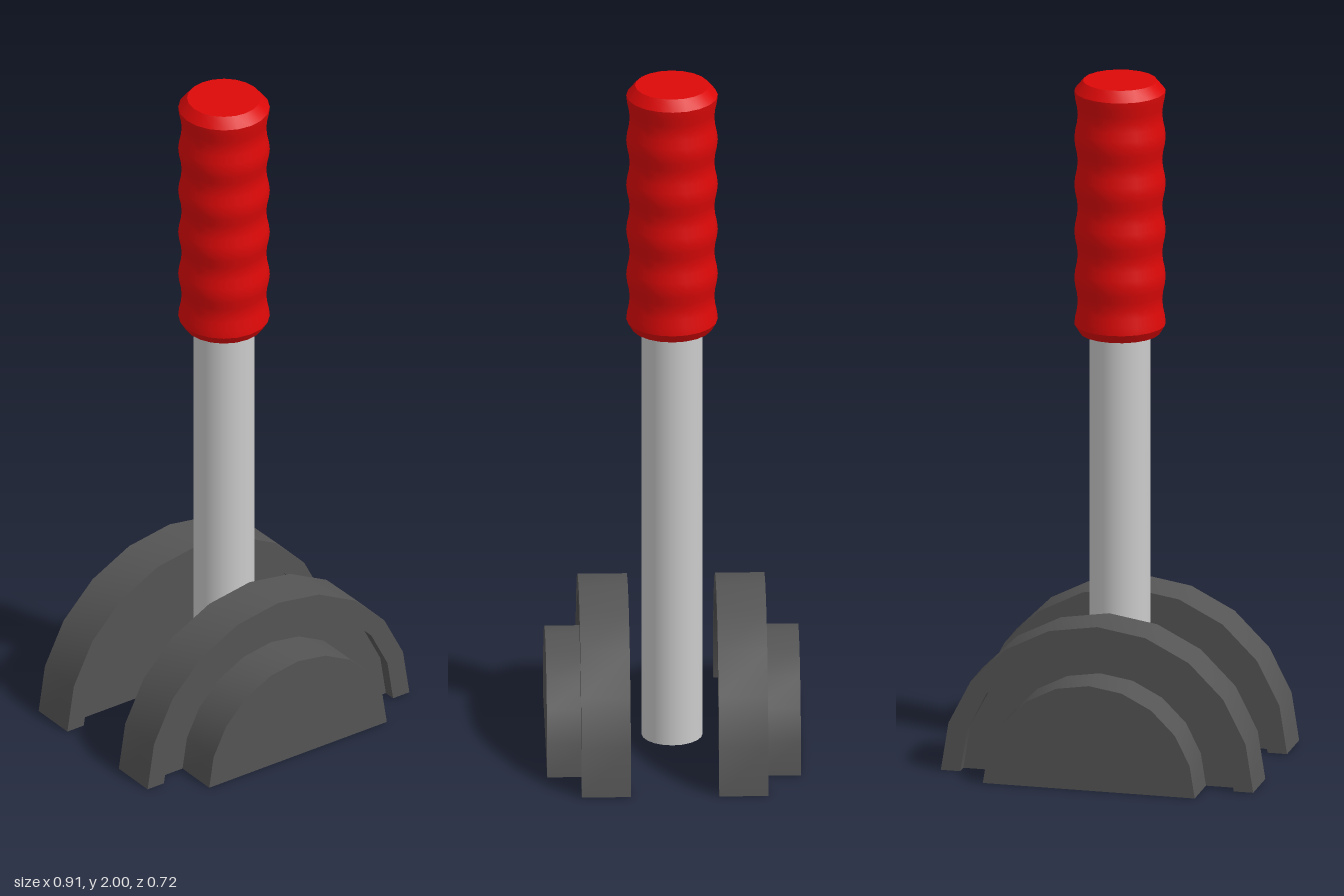
import * as THREE from 'three';
import { toCreasedNormals } from 'three/addons/utils/BufferGeometryUtils.js';

const STEPS = 10; // facets per half circle

function arc(radius) {
  const points = [];
  for (let i = 0; i <= STEPS; i++) {
    const a = (i / STEPS) * Math.PI;
    points.push(new THREE.Vector2(radius * Math.cos(a), radius * Math.sin(a)));
  }
  return points;
}

// Half disc, or half ring when an inner radius is given, from z0 to z1
function halfDisc(name, outer, inner, z0, z1, material) {
  const points = arc(outer);
  if (inner > 0) points.push(...arc(inner).reverse());
  const geometry = new THREE.ExtrudeGeometry(new THREE.Shape(points), {
    depth: z1 - z0, bevelEnabled: false,
  });
  geometry.translate(0, 0, z0);
  const mesh = new THREE.Mesh(toCreasedNormals(geometry, 0.5), material);
  mesh.name = name;
  return mesh;
}

export function createModel() {
  const model = new THREE.Group();
  model.name = 'lever';

  const steel = new THREE.MeshStandardMaterial({ color: 0xcccccc });
  const dark = new THREE.MeshStandardMaterial({ color: 0x555555 });
  const red = new THREE.MeshStandardMaterial({ color: 0xdd0808 });

  // Shaft
  const shaft = new THREE.Mesh(new THREE.CylinderGeometry(0.087, 0.087, 1.3, 20), steel);
  shaft.position.y = 0.65;
  shaft.name = 'shaft';
  model.add(shaft);

  // Grip with five shallow finger grooves and chamfered ends
  const low = 1.28, high = 1.97, grooves = 5, perGroove = 6;
  const profile = [new THREE.Vector2(0, 1.255), new THREE.Vector2(0.115, 1.255)];
  for (let i = 0; i <= grooves * perGroove; i++) {
    const t = i / (grooves * perGroove);
    const dip = 0.005 * (1 - Math.cos(t * grooves * Math.PI * 2));
    profile.push(new THREE.Vector2(0.13 - dip, low + (high - low) * t));
  }
  profile.push(new THREE.Vector2(0.105, 2), new THREE.Vector2(0, 2));
  const grip = new THREE.Mesh(
    toCreasedNormals(new THREE.LatheGeometry(profile, 20), 0.6), red);
  grip.name = 'grip';
  model.add(grip);

  // Two half-round side plates: raised rim, recessed web, hub on the outer face
  for (const side of [1, -1]) {
    const plate = new THREE.Group();
    plate.name = side > 0 ? 'frontPlate' : 'backPlate';
    plate.add(
      halfDisc('rim', 0.457, 0.4, 0.125, 0.265, dark),
      halfDisc('web', 0.4, 0, 0.16, 0.23, dark),
      halfDisc('hub', 0.31, 0, 0.23, 0.36, dark),
    );
    if (side < 0) plate.rotation.y = Math.PI;
    model.add(plate);
  }

  return model;
}
